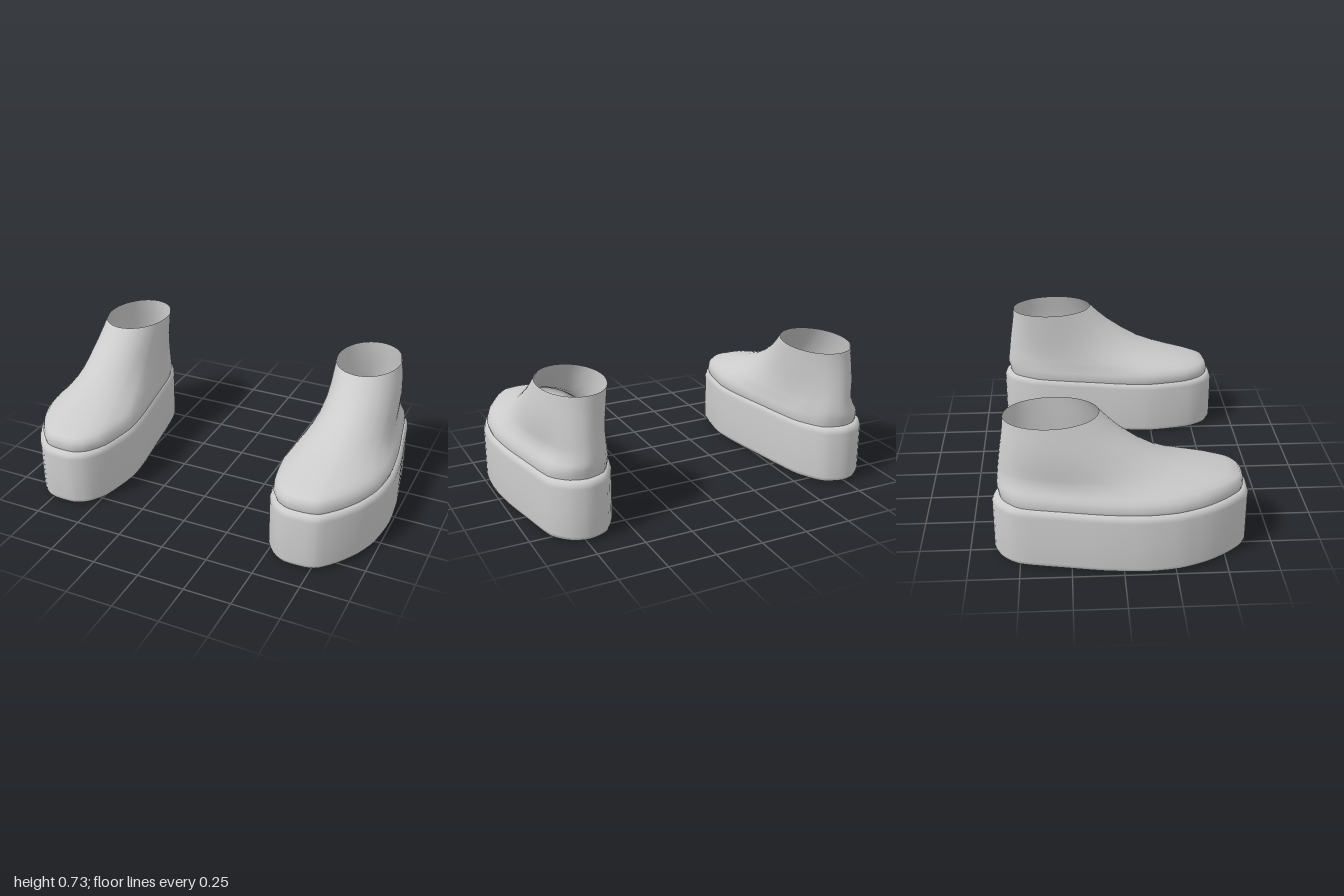
import * as THREE from 'three';

const grey = new THREE.MeshStandardMaterial({ color: 0xcccccc, side: THREE.DoubleSide });
grey.name = 'light grey';

// Sole outline (x, z) of the left shoe: heel, outer side, toe, inner side
const OUTLINE = [
  [0.73, -0.63], [0.82, -0.605], [0.90, -0.515], [0.945, -0.3], [0.982, -0.1], [1.0, 0.1],
  [0.982, 0.27], [0.93, 0.41], [0.86, 0.52], [0.785, 0.6], [0.72, 0.622], [0.61, 0.622],
  [0.535, 0.58], [0.475, 0.48], [0.436, 0.26], [0.45, 0.08], [0.485, -0.12], [0.52, -0.33],
  [0.55, -0.46], [0.625, -0.59],
];
const CX = 0.718, HX = 0.282, HZ = 0.628, N = 60;
const curve = new THREE.CatmullRomCurve3(
  OUTLINE.map(([x, z]) => new THREE.Vector3(x, 0, z)), true, 'catmullrom', 0.35);
const points = curve.getPoints(N).slice(0, N);

// Sole: height and inset of each cross-section
const SOLE = [
  [0.004, 0.05], [0.006, 0.03], [0.015, 0.01], [0.038, 0], [0.16, 0], [0.288, 0],
  [0.31, 0.008], [0.32, 0.022], [0.324, 0.045],
];

// Upper: height, back z, front z, inner x, outer x, blend from sole outline to oval
const UPPER = [
  [0.315, -0.59, 0.592, 0.455, 0.975, 0], [0.34, -0.595, 0.6, 0.447, 0.982, 0],
  [0.37, -0.602, 0.597, 0.452, 0.972, 0], [0.392, -0.602, 0.582, 0.465, 0.955, 0.1],
  [0.41, -0.601, 0.53, 0.475, 0.94, 0.25], [0.44, -0.598, 0.42, 0.495, 0.92, 0.45],
  [0.47, -0.595, 0.31, 0.51, 0.911, 0.65], [0.51, -0.59, 0.2, 0.522, 0.905, 0.8],
  [0.565, -0.583, 0.1, 0.53, 0.9, 0.95], [0.63, -0.573, 0.005, 0.532, 0.89, 1],
  [0.68, -0.566, -0.052, 0.532, 0.88, 1], [0.73, -0.562, -0.108, 0.532, 0.87, 1],
];

function soleRing([y, inset]) {
  const kx = 1 - inset / HX, kz = 1 - inset / HZ;
  return points.map(p => [CX + (p.x - CX) * kx, y, p.z * kz]);
}

function upperRing([y, back, front, inner, outer, blend]) {
  return points.map(p => {
    const u = (p.x - CX) / HX, w = p.z / HZ, a = Math.atan2(w, u);
    const bx = THREE.MathUtils.lerp(u, Math.cos(a), blend);
    const bz = THREE.MathUtils.lerp(w, Math.sin(a), blend);
    const tilt = y > 0.7 ? 0.005 * bz : 0; // rim is slightly higher in front
    return [(inner + outer) / 2 + bx * (outer - inner) / 2, y + tilt,
      (back + front) / 2 + bz * (front - back) / 2];
  });
}

// Skins a stack of rings; side = 1 for left, -1 for the mirrored right shoe
function loft(rings, side, capped) {
  const pos = [], index = [];
  const vertex = ([x, y, z]) => pos.push(x * side, y, z) / 3 - 1;
  const tri = (a, b, c) => side > 0 ? index.push(a, b, c) : index.push(a, c, b);
  rings.forEach(r => r.forEach(vertex));
  for (let j = 0; j < rings.length - 1; j++) {
    for (let i = 0; i < N; i++) {
      const a = j * N + i, b = j * N + (i + 1) % N;
      tri(a, a + N, b);
      tri(b, a + N, b + N);
    }
  }
  if (capped) {
    [[rings[0], false], [rings[rings.length - 1], true]].forEach(([ring, top]) => {
      const start = pos.length / 3;
      ring.forEach(vertex);
      const centre = vertex([CX, ring[0][1], 0]);
      for (let i = 0; i < N; i++) {
        const a = start + i, b = start + (i + 1) % N;
        if (top) tri(centre, b, a); else tri(centre, a, b);
      }
    });
  }
  const g = new THREE.BufferGeometry();
  g.setAttribute('position', new THREE.Float32BufferAttribute(pos, 3));
  g.setIndex(index);
  g.computeVertexNormals();
  return g;
}

function createShoe(side) {
  const shoe = new THREE.Group();
  shoe.name = side > 0 ? 'leftShoe' : 'rightShoe';
  // Thick platform sole with rounded edges
  const sole = new THREE.Mesh(loft(SOLE.map(soleRing), side, true), grey);
  sole.name = 'platformSole';
  // Open ankle-high upper
  const upper = new THREE.Mesh(loft(UPPER.map(upperRing), side, false), grey);
  upper.name = 'upper';
  shoe.add(sole, upper);
  return shoe;
}

export function createModel() {
  const model = new THREE.Group();
  model.name = 'platformShoes';
  model.add(createShoe(1), createShoe(-1));
  return model;
}
